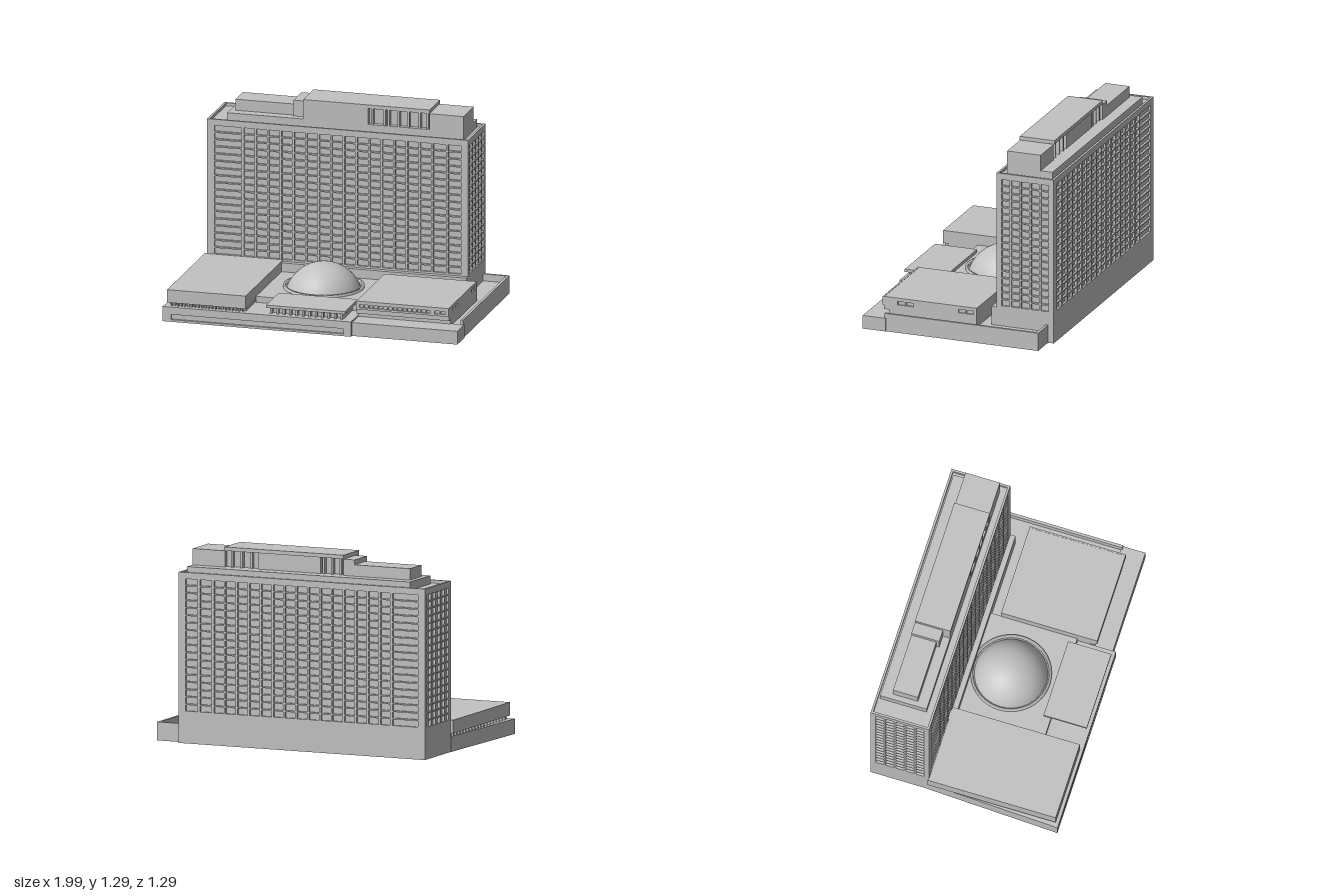
import * as THREE from 'three';

export function createModel() {
  const root = new THREE.Group();
  root.name = 'hotelComplex';
  const concrete = new THREE.MeshStandardMaterial({ color: 0xc2c2c2 });
  concrete.name = 'concrete';

  const add = (name, geo, parent = root) => {
    const m = new THREE.Mesh(geo, concrete);
    m.name = name;
    parent.add(m);
    return m;
  };
  // Box given by its limits on each axis
  const box = (name, x0, x1, y0, y1, z0, z1, parent = root) => {
    const m = add(name, new THREE.BoxGeometry(x1 - x0, y1 - y0, z1 - z0), parent);
    m.position.set((x0 + x1) / 2, (y0 + y1) / 2, (z0 + z1) / 2);
    return m;
  };
  const rect = (Type, x0, x1, y0, y1) => {
    const s = new Type();
    s.moveTo(x0, y0);
    s.lineTo(x1, y0);
    s.lineTo(x1, y1);
    s.lineTo(x0, y1);
    s.closePath();
    return s;
  };
  // Upright plate with rectangular openings, its back on z = 0
  const plate = (name, x0, x1, y0, y1, holes, depth, parent = root) => {
    const s = rect(THREE.Shape, x0, x1, y0, y1);
    holes.forEach(h => s.holes.push(rect(THREE.Path, ...h)));
    return add(name, new THREE.ExtrudeGeometry(s, { depth, bevelEnabled: false }), parent);
  };
  // Even columns between two limits
  const columns = (a, b, n, gap) => Array.from({ length: n }, (_, i) => {
    const p = (b - a + gap) / n;
    return [a + i * p, a + (i + 1) * p - gap];
  });
  // Grid of window openings, 18 floors
  const openings = cols => {
    const out = [];
    for (let r = 0; r < 18; r++) {
      const y = 0.213 + r * 0.0488;
      cols.forEach(([a, b]) => out.push([a, b, y, y + 0.04]));
    }
    return out;
  };

  // ---- Tower ----
  const tower = new THREE.Group();
  tower.name = 'tower';
  root.add(tower);
  const X0 = -0.955, X1 = 0.815, Z0 = -0.645, Z1 = -0.245, H = 1.125, T = 0.015;
  box('towerCore', X0 + T, X1 - T, 0, 1.105, Z0 + T, Z1 - T, tower);
  const longCols = [[-0.905, -0.722], ...columns(-0.706, 0.562, 15, 0.014),
    [0.578, 0.663], [0.679, 0.765]];
  const frontWall = plate('frontWall', X0, X1, 0, H, openings(longCols), T, tower);
  frontWall.position.z = Z1 - T;
  const backCols = longCols.map(([a, b]) => [-b, -a]);
  const backWall = plate('backWall', -X1, -X0, 0, H, openings(backCols), T, tower);
  backWall.rotation.y = Math.PI;
  backWall.position.z = Z0 + T;
  const half = (Z1 - Z0) / 2, zMid = (Z0 + Z1) / 2;
  for (const side of [-1, 1]) {
    const w = plate('endWall', -half + T, half - T, 0, H,
      openings(columns(-0.165, 0.165, 5, 0.013)), T, tower);
    w.rotation.y = side * Math.PI / 2;
    w.position.set(side > 0 ? X1 - T : X0 + T, 0, zMid);
  }

  // ---- Roof structures ----
  const roof = new THREE.Group();
  roof.name = 'penthouse';
  root.add(roof);
  box('roofTier', -0.835, 0.767, 1.1, 1.16, -0.617, -0.3, roof);
  box('leftPlantRoom', -0.8, -0.4, 1.15, 1.235, -0.54, -0.37, roof);
  box('leftPlantStep', -0.4, -0.32, 1.15, 1.267, -0.54, -0.35, roof);
  box('rightPlantRoom', 0.535, 0.767, 1.1, 1.267, -0.535, -0.3, roof);
  box('mainPlantRoom', -0.32, 0.12, 1.15, 1.272, -0.5, -0.3, roof);
  box('mainPlantRoomRear', -0.15, 0.3, 1.15, 1.272, -0.53, -0.48, roof);
  box('recessedPlantRoom', 0.12, 0.535, 1.15, 1.272, -0.5, -0.335, roof);
  box('roofCap', -0.32, 0.537, 1.268, 1.293, -0.54, -0.298, roof);
  for (const x of [0.14, 0.225, 0.25, 0.32, 0.385, 0.46, 0.515])
    box('frontFin', x, x + 0.014, 1.15, 1.27, -0.34, -0.302, roof);
  for (const x of [-0.3, -0.24, -0.18, 0.34, 0.41, 0.48])
    box('rearFin', x, x + 0.014, 1.15, 1.27, -0.53, -0.49, roof);

  // ---- Base ----
  const base = new THREE.Group();
  base.name = 'base';
  root.add(base);
  const plan = new THREE.Shape();
  [[-0.996, -0.627], [0.28, -0.627], [0.28, 0.25], [-0.957, 0.25]]
    .forEach(([x, y], i) => (i ? plan.lineTo(x, y) : plan.moveTo(x, y)));
  const slab = new THREE.ExtrudeGeometry(plan, { depth: 0.1, bevelEnabled: false });
  slab.rotateX(-Math.PI / 2);
  add('leftBase', slab, base);
  plate('frontBaseWall', -0.998, 0.28, 0, 0.1, [[-0.94, 0.23, 0.015, 0.05]], 0.015, base)
    .position.z = 0.627;
  box('rightFrontPlatform', 0.28, 0.995, 0, 0.09, 0.46, 0.62, base);
  box('rightBase', 0.28, 0.905, 0, 0.122, -0.14, 0.47, base);
  box('rightDeck', 0.28, 0.98, 0, 0.075, -0.6, 0.47, base);
  box('sideParapet', 0.972, 0.99, 0, 0.122, -0.605, 0.47, base);
  box('rearParapet', 0.81, 0.99, 0, 0.122, -0.605, -0.587, base);
  box('towerLedge', -0.44, 0.815, 0.05, 0.2, -0.25, -0.21, base);

  // ---- Left hall, floating over a recessed window band ----
  const hall = new THREE.Group();
  hall.name = 'leftHall';
  root.add(hall);
  box('hallBody', -0.972, -0.44, 0.123, 0.21, -0.25, 0.622, hall);
  box('hallBand', -0.945, -0.445, 0.09, 0.13, -0.25, 0.59, hall);
  for (let i = 0; i < 22; i++)
    box('bandPost', -0.95 + i * 0.023, -0.942 + i * 0.023, 0.1, 0.125, 0.585, 0.612, hall);
  for (let i = 0; i < 18; i++)
    box('sidePost', -0.962, -0.94, 0.1, 0.125, -0.22 + i * 0.046, -0.21 + i * 0.046, hall);

  // ---- Right hall with window openings ----
  const right = new THREE.Group();
  right.name = 'rightHall';
  root.add(right);
  box('hallBody', 0.278, 0.895, 0.12, 0.205, -0.14, 0.505, right);
  plate('hallFront', 0.278, 0.905, 0.15, 0.207,
    columns(0.3, 0.78, 15, 0.007).map(c => [...c, 0.163, 0.184])
      .concat([[0.81, 0.84, 0.163, 0.184], [0.85, 0.88, 0.163, 0.184]]), 0.01, right)
    .position.z = 0.505;
  const sideWall = plate('hallSide', -0.505, 0.14, 0.12, 0.207,
    [[-0.41, -0.355], [-0.35, -0.3], [0.015, 0.065], [0.07, 0.12]]
      .map(c => [...c, 0.16, 0.184]), 0.01, right);
  sideWall.rotation.y = Math.PI / 2;
  sideWall.position.x = 0.895;

  // ---- Courtyard, dome and entrance pavilion ----
  const court = new THREE.Group();
  court.name = 'courtyard';
  root.add(court);
  box('courtFloor', -0.44, 0.28, 0.09, 0.14, -0.21, 0.38, court);
  const ring = add('domeRing', new THREE.LatheGeometry(
    [[0.265, 0.135], [0.265, 0.155], [0.248, 0.155], [0.248, 0.135]]
      .map(p => new THREE.Vector2(...p)), 40), court);
  ring.position.set(-0.08, 0, 0.04);
  const R = 0.257;
  const dome = add('dome',
    new THREE.SphereGeometry(R, 32, 12, 0, Math.PI * 2, 0, Math.acos(0.085 / R)), court);
  dome.position.set(-0.08, 0.305 - R, 0.04);

  box('pavilionBody', -0.28, 0.215, 0.09, 0.145, 0.33, 0.575, court);
  box('pavilionRoof', -0.3, 0.235, 0.143, 0.162, 0.33, 0.625, court);
  for (let i = 0; i < 12; i++) {
    const x = -0.28 + i * 0.0435;
    box('pavilionPost', x, x + 0.014, 0.1, 0.145, 0.57, 0.605, court);
  }
  return root;
}
